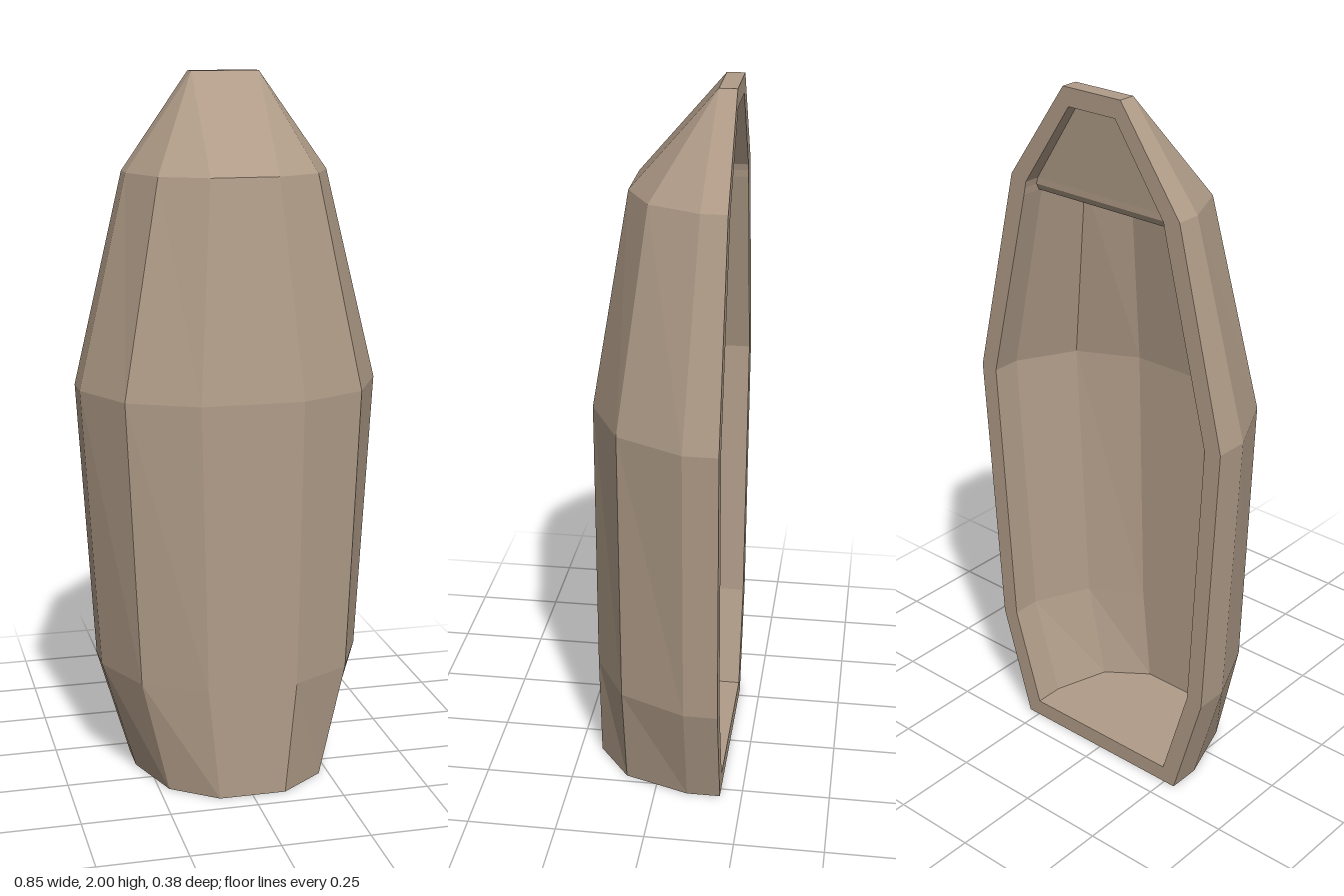
import * as THREE from 'three';

const BACK = -0.188;
const material = new THREE.MeshStandardMaterial({ color: 0xb09c88, flatShading: true });

// Mirror a half section [[x, z], ...] (rear to front, +x side) into a full open ring.
function ring(y, half) {
  const left = half.map(([x, z]) => new THREE.Vector3(x, y, z));
  const right = half.map(([x, z]) => new THREE.Vector3(-x, y, z)).reverse();
  return [...left, ...right];
}

const flip = (points) => [...points].reverse();

// Add a triangle, leaving out those that collapse to a line.
function triangle(out, a, b, c) {
  if (new THREE.Triangle(a, b, c).getArea() < 1e-7) return;
  for (const p of [a, b, c]) out.push(p.x, p.y, p.z);
}

// Join successive sections with quads.
function loft(out, sections) {
  for (let i = 0; i < sections.length - 1; i++) {
    const a = sections[i], b = sections[i + 1];
    for (let j = 0; j < a.length - 1; j++) {
      triangle(out, a[j], b[j], b[j + 1]);
      triangle(out, a[j], b[j + 1], a[j + 1]);
    }
  }
}

// Close a section with a fan.
function cap(out, points) {
  for (let j = 1; j < points.length - 1; j++) triangle(out, points[0], points[j], points[j + 1]);
}

function addMesh(group, name, positions) {
  const geometry = new THREE.BufferGeometry();
  geometry.setAttribute('position', new THREE.Float32BufferAttribute(positions, 3));
  geometry.computeVertexNormals();
  const mesh = new THREE.Mesh(geometry, material);
  mesh.name = name;
  group.add(mesh);
}

export function createModel() {
  const group = new THREE.Group();
  group.name = 'hollowShell';

  // Faceted outer skin, from the flat base to the blunt tip
  const outer = [
    ring(0, [[0.285, BACK], [0.285, -0.093], [0.222, 0.092], [0.095, 0.187]]),
    ring(0.325, [[0.38, BACK], [0.38, -0.093], [0.297, 0.092], [0.127, 0.187]]),
    ring(1.135, [[0.427, BACK], [0.427, -0.093], [0.333, 0.092], [0.143, 0.187]]),
    ring(1.73, [[0.285, BACK], [0.285, -0.118], [0.222, 0.022], [0.095, 0.092]]),
    ring(2, [[0.095, BACK], [0.095, -0.14], [0.095, -0.14], [0.095, -0.14]]),
  ];
  const skin = [];
  loft(skin, outer);
  cap(skin, outer[0]);
  cap(skin, flip(outer[outer.length - 1]));
  addMesh(group, 'outerSkin', skin);

  // Deep cavity, with a floor at the base and a bulkhead under the nose
  const inner = [
    ring(0.05, [[0.245, BACK], [0.245, -0.105], [0.195, 0.055], [0.08, 0.138]]),
    ring(0.335, [[0.33, BACK], [0.33, -0.105], [0.255, 0.055], [0.107, 0.138]]),
    ring(1.13, [[0.375, BACK], [0.375, -0.105], [0.29, 0.055], [0.122, 0.138]]),
    ring(1.68, [[0.242, BACK], [0.242, -0.12], [0.188, -0.01], [0.08, 0.055]]),
  ];
  const cavity = [];
  loft(cavity, inner.map(flip));
  cap(cavity, flip(inner[0]));
  const bulkhead = ring(1.68, [[0.242, -0.13], [0.242, -0.12], [0.188, -0.01], [0.08, 0.055]]);
  cap(cavity, bulkhead);
  addMesh(group, 'innerCavity', cavity);

  // Shallow recess behind the nose, with a bevelled lower edge
  const recessRows = [
    [0.242, 1.68, -0.13],
    [0.239, 1.7, -0.143],
    [0.234, 1.718, -0.143],
    [0.077, 1.95, -0.152],
  ].map(([x, y, z]) => ring(y, [[x, BACK], [x, z]]));
  const recess = [];
  loft(recess, recessRows.map(flip));
  cap(recess, recessRows[recessRows.length - 1]);
  addMesh(group, 'noseRecess', recess);

  // Flat rim around the open back
  const outline = (sections) => {
    const side = sections.map((s) => new THREE.Vector2(s[0].x, s[0].y));
    return [...side, ...flip(side).map((p) => new THREE.Vector2(-p.x, p.y))];
  };
  const rimShape = new THREE.Shape(outline(outer));
  rimShape.holes.push(new THREE.Path(outline([...inner, ...recessRows.slice(2)])));
  const rim = new THREE.Mesh(
    new THREE.ShapeGeometry(rimShape).rotateY(Math.PI).translate(0, 0, BACK),
    material
  );
  rim.name = 'backRim';
  group.add(rim);

  return group;
}
